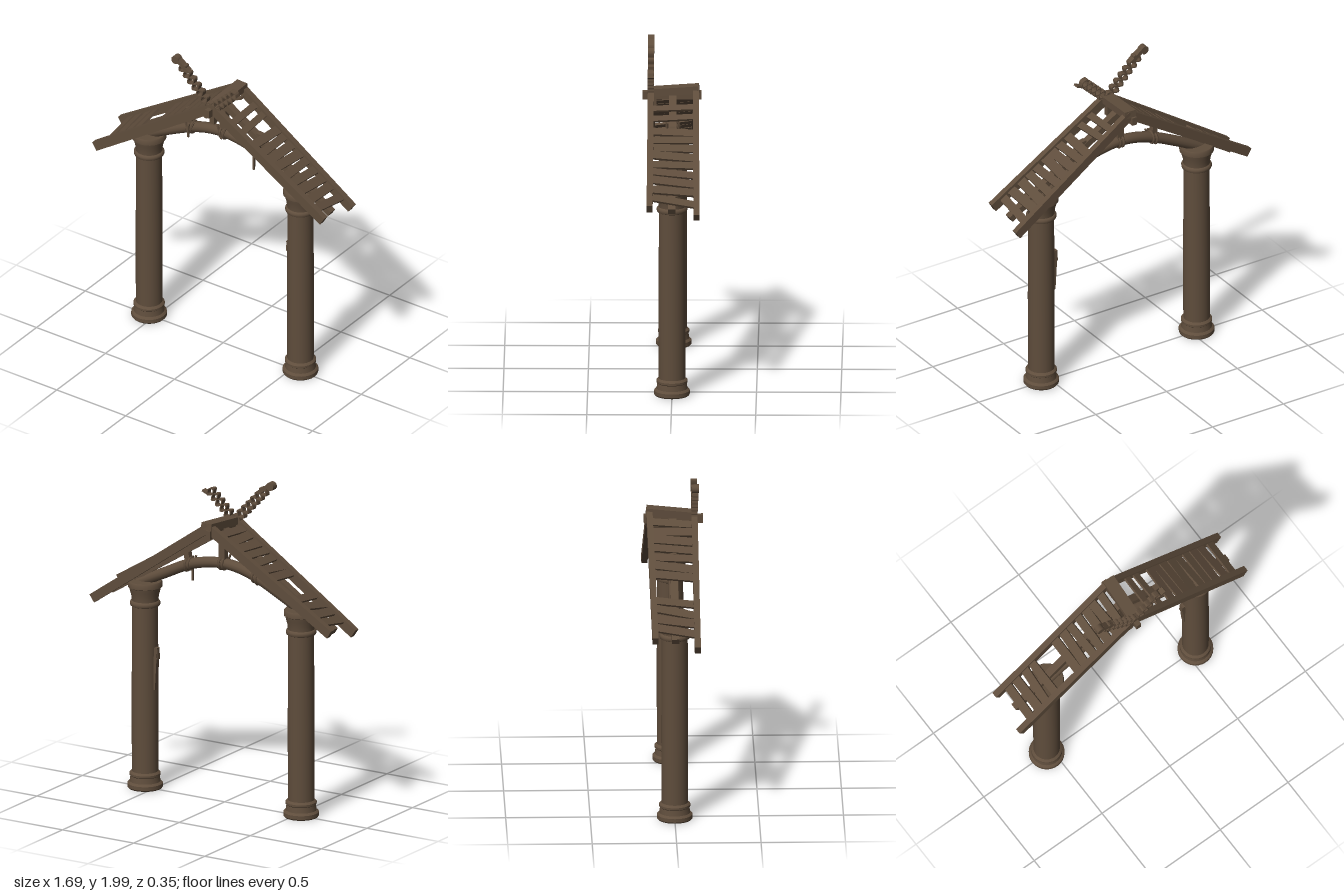
import * as THREE from 'three';
import { toCreasedNormals } from 'three/addons/utils/BufferGeometryUtils.js';

const wood = new THREE.MeshStandardMaterial({ color: 0x5f4d3c, side: THREE.DoubleSide });
wood.name = 'weathered brown wood';

const V = (x, y, z) => new THREE.Vector3(x, y, z);

function add(parent, name, geometry) {
  const mesh = new THREE.Mesh(geometry, wood);
  mesh.name = name;
  parent.add(mesh);
  return mesh;
}

// Squared timber from a to b; h is measured along up, w across it.
function beam(parent, name, a, b, w, h, up = V(0, 1, 0)) {
  const dir = b.clone().sub(a);
  const length = dir.length();
  dir.normalize();
  const side = dir.clone().cross(up).normalize();
  const top = side.clone().cross(dir);
  const mesh = add(parent, name, new THREE.BoxGeometry(length, h, w));
  mesh.quaternion.setFromRotationMatrix(new THREE.Matrix4().makeBasis(dir, top, side));
  mesh.position.copy(a).add(b).multiplyScalar(0.5);
  return mesh;
}

// Hollow turned column with moulded base and flared capital
function column(parent, name, x) {
  const profile = [
    [0.078, 0.04], [0.082, 0], [0.1, 0], [0.106, 0.008], [0.106, 0.03], [0.099, 0.037],
    [0.092, 0.042], [0.087, 0.075], [0.093, 0.08], [0.093, 0.093], [0.086, 0.1], [0.079, 0.105],
    [0.08, 0.6], [0.077, 1.125], [0.088, 1.13], [0.091, 1.138], [0.091, 1.148], [0.086, 1.156],
    [0.08, 1.16], [0.082, 1.19], [0.09, 1.22], [0.094, 1.24], [0.103, 1.245], [0.103, 1.272],
    [0.098, 1.28], [0, 1.28],
  ].map(([r, y]) => new THREE.Vector2(r, y));
  const geometry = toCreasedNormals(new THREE.LatheGeometry(profile, 28), 0.6);
  add(parent, name, geometry).position.x = x;
}

// Carved horn: two interlaced wavy strands, local +x points to the tip
function horn(parent, name, from, to, amplitude) {
  const group = new THREE.Group();
  group.name = name;
  const dx = to.x - from.x, dy = to.y - from.y, length = Math.hypot(dx, dy);
  const waves = Math.round(length / 0.09), steps = waves * 12, half = 0.006;
  for (const sign of [-1, 1]) {
    const upper = [], lower = [];
    for (let i = 0; i <= steps; i++) {
      const y = sign * amplitude * Math.sin((i / steps) * waves * Math.PI * 2);
      upper.push(new THREE.Vector2((i / steps) * length, y + half));
      lower.unshift(new THREE.Vector2((i / steps) * length, y - half));
    }
    const strand = new THREE.ExtrudeGeometry(new THREE.Shape([...upper, ...lower]),
      { depth: 0.036, bevelEnabled: false });
    add(group, 'hornStrand', strand).position.z = -0.018;
  }
  group.position.copy(from);
  group.rotation.z = Math.atan2(dy, dx);
  parent.add(group);
  return { group, length };
}

export function createModel() {
  const model = new THREE.Group();
  model.name = 'timberGate';

  // Columns, with a splinter on the left one
  column(model, 'rightColumn', -0.537);
  column(model, 'leftColumn', 0.56);
  beam(model, 'columnSplinter', V(0.485, 0.62, -0.01), V(0.47, 0.88, -0.01), 0.03, 0.02, V(1, 0, 0));
  beam(model, 'columnSplinterTip', V(0.464, 0.81, -0.01), V(0.468, 0.88, -0.01), 0.025, 0.015, V(1, 0, 0));

  // Roof slopes: rafter end points and slat positions for each side
  const slopes = [
    {
      side: 'right',
      front: [V(-0.83, 1.145, 0.13), V(0.02, 1.715, 0.13)],
      back: [V(-0.82, 1.2, -0.12), V(0.03, 1.73, -0.137)],
      middle: [V(-0.77, 1.18, 0), V(0, 1.68, 0)],
      slats: [-0.74, -0.68, -0.62, -0.56, -0.39, -0.335, -0.277, -0.22, -0.165, -0.11, -0.055],
    },
    {
      side: 'left',
      front: [V(0.82, 1.215, 0.13), V(0, 1.72, 0.13)],
      back: [V(0.83, 1.165, -0.147), V(0.02, 1.73, -0.137)],
      middle: [V(0.785, 1.19, 0), V(0.01, 1.68, 0)],
      slats: [0.145, 0.21, 0.305, 0.357, 0.41, 0.463, 0.52, 0.575, 0.63, 0.69, 0.755],
    },
  ];
  const at = ([a, b], x) => a.clone().lerp(b, (x - a.x) / (b.x - a.x));
  for (const { side, front, back, middle, slats } of slopes) {
    beam(model, `${side}FrontRafter`, ...front, 0.036, 0.058);
    beam(model, `${side}BackRafter`, ...back, 0.036, 0.055);
    beam(model, `${side}MiddleRafter`, ...middle, 0.045, 0.04);
    const along = front[1].clone().sub(front[0]).normalize();
    const normal = V(-along.y, along.x, 0);
    if (normal.y < 0) normal.negate();
    slats.forEach((x, i) => {
      const skew = 0.006 * Math.sin(i * 2.3);
      const a = at(front, x + skew), b = at(back, x - skew);
      a.y += 0.008;
      b.y += 0.008;
      const width = x > 0 && x < 0.25 ? 0.042 : 0.055 + 0.005 * Math.sin(i * 1.7);
      beam(model, 'roofSlat', a, b, width, 0.014, normal);
    });
  }

  // Ridge cap and the pole through the apex
  beam(model, 'ridgeCap', V(0.015, 1.71, 0.145), V(0.03, 1.735, -0.155), 0.075, 0.045);
  beam(model, 'ridgePole', V(0.01, 1.69, 0.18), V(0.01, 1.69, -0.17), 0.032, 0.05);
  beam(model, 'ridgePegFront', V(0.01, 1.6, 0.115), V(0.01, 1.69, 0.115), 0.035, 0.035, V(0, 0, 1));

  // Curved tie beam and king post
  const arch = new THREE.CatmullRomCurve3([
    V(-0.58, 1.25, 0), V(-0.4, 1.345, 0), V(-0.217, 1.43, 0), V(-0.1, 1.464, 0), V(0.01, 1.475, 0),
    V(0.12, 1.464, 0), V(0.25, 1.43, 0), V(0.42, 1.35, 0), V(0.6, 1.265, 0),
  ]);
  add(model, 'archBeam', new THREE.TubeGeometry(arch, 48, 0.033, 12));
  beam(model, 'kingPost', V(0.01, 1.47, 0), V(0.01, 1.7, 0), 0.042, 0.042, V(0, 0, 1));

  // Rope bindings, short struts and hanging ends
  for (const [x, y, slope, drop] of [[-0.225, 1.427, 0.42, 0.05], [0.01, 1.475, 0, 0], [0.25, 1.43, -0.42, 0.11]]) {
    const binding = new THREE.Group();
    binding.name = 'binding';
    binding.position.set(x, y, 0);
    for (const offset of [-0.012, 0.012]) {
      const ring = add(binding, 'ropeRing', new THREE.TorusGeometry(0.036, 0.008, 6, 16));
      ring.rotation.set(0, Math.PI / 2, 0);
      ring.position.set(offset, offset * slope, 0);
    }
    for (const s of [-1, 1]) {
      beam(binding, 'ropeCross', V(0, -0.03, 0.034), V(s * 0.03, 0.05, 0.03), 0.01, 0.01);
    }
    if (drop) {
      beam(binding, 'strut', V(0, 0, 0), V(-Math.sign(slope) * 0.02, 0.13, 0), 0.035, 0.035, V(0, 0, 1));
      beam(binding, 'hangingEnd', V(0.002, 0.04, 0.04), V(0, -drop, 0.04), 0.012, 0.012, V(0, 0, 1));
    }
    model.add(binding);
  }

  // Crossed horns above the front gable
  const tall = horn(model, 'tallHorn', V(0.04, 1.675, 0.13), V(-0.21, 1.935, 0.13), 0.027);
  beam(tall.group, 'hornNeck', V(tall.length - 0.06, -0.018, 0), V(tall.length + 0.03, -0.004, 0), 0.038, 0.024);
  const head = add(tall.group, 'hornHead', new THREE.CylinderGeometry(0.026, 0.026, 0.04, 14));
  head.rotation.x = Math.PI / 2;
  head.position.set(tall.length + 0.042, 0.008, 0);

  const short = horn(model, 'shortHorn', V(-0.05, 1.645, 0.13), V(0.19, 1.875, 0.13), 0.027);
  beam(short.group, 'hornBarb', V(short.length - 0.012, -0.028, 0), V(short.length + 0.02, -0.04, 0), 0.036, 0.012);
  return model;
}
